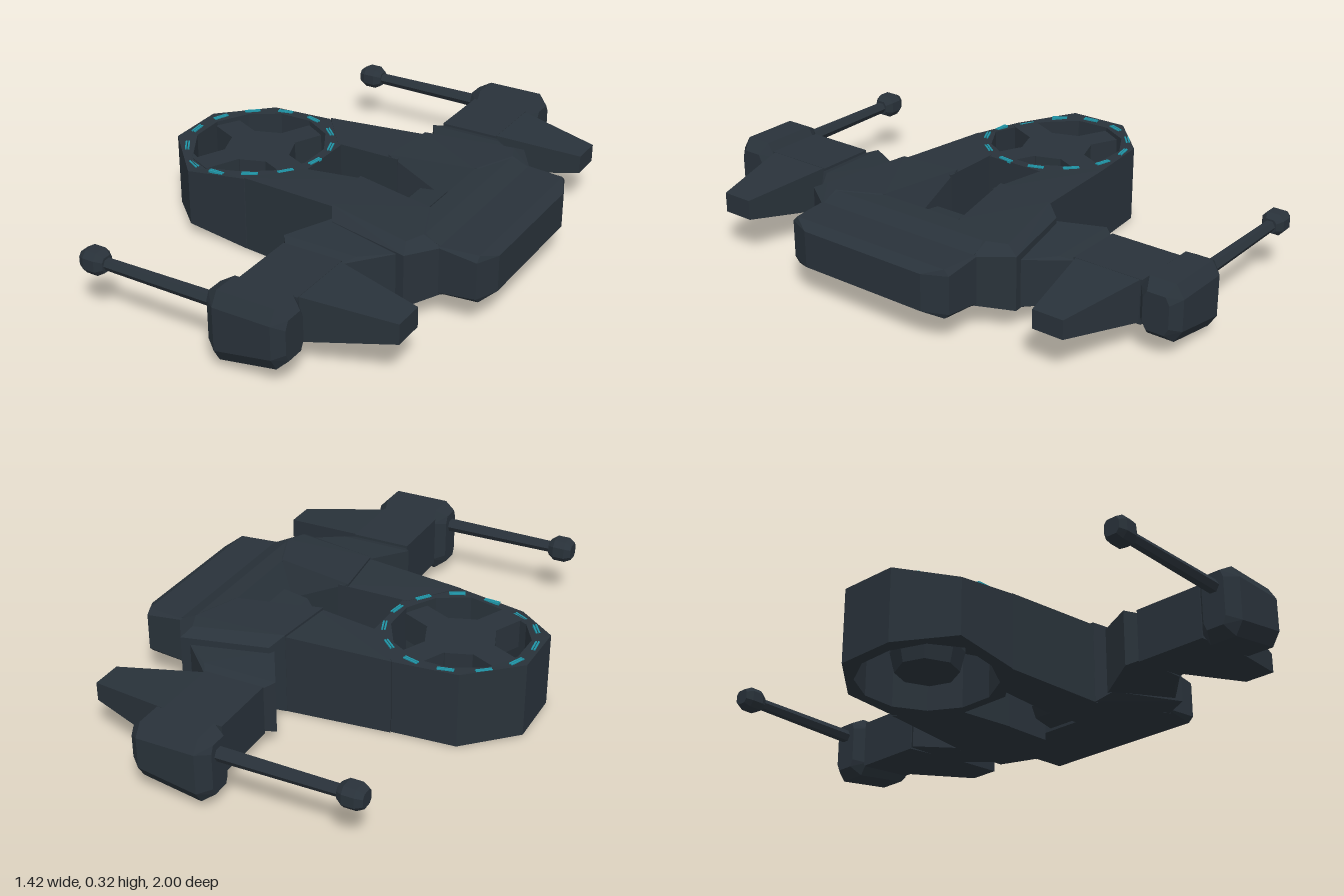
import * as THREE from 'three';
import { ConvexGeometry } from 'three/addons/geometries/ConvexGeometry.js';

const hullMat = new THREE.MeshStandardMaterial({ color: 0x29323a });
hullMat.name = 'dark slate hull';
const lightMat = new THREE.MeshStandardMaterial({ color: 0x1f94a6 });
lightMat.name = 'teal light';

export function createModel() {
  const model = new THREE.Group();
  model.name = 'spacecraft';

  function add(name, geometry, material = hullMat) {
    const mesh = new THREE.Mesh(geometry, material);
    mesh.name = name;
    model.add(mesh);
    return mesh;
  }
  // Convex solid; plan points are [x, z, bottom, top]
  function solid(name, plan, side = 1, lift = 1) {
    const pts = [];
    for (const [x, z, y0, y1] of plan) {
      pts.push(new THREE.Vector3(x, y0 * lift, z * side), new THREE.Vector3(x, y1 * lift, z * side));
    }
    return add(name, new ConvexGeometry(pts));
  }
  // Chamfered-box cross-section across x, returned as plan points
  function section(x, z, halfWidth, y0, y1, cutZ, cutY) {
    return [
      [x, z - halfWidth, y0 + cutY, y1 - cutY], [x, z + halfWidth, y0 + cutY, y1 - cutY],
      [x, z - halfWidth + cutZ, y0, y1], [x, z + halfWidth - cutZ, y0, y1],
    ];
  }

  // Nose ring with a round opening; its rim dips on the left and rises on the right
  const cx = -0.415, cz = 0.01, midY = 0.155;
  function rimHalfHeight(x, z) {
    const b = Math.max(0, 1 - Math.abs(x + 0.535) / 0.2);
    return 0.128 + 0.016 * (1 - b) - 0.065 * z * b;
  }
  const outline = [[-0.71, -0.1], [-0.53, -0.27], [-0.29, -0.292], [-0.135, -0.12],
    [-0.135, 0.12], [-0.29, 0.298], [-0.54, 0.298], [-0.71, 0.13]];
  const shape = new THREE.Shape(outline.map(([x, z]) => new THREE.Vector2(x, z)));
  const hole = [];
  for (let i = 0; i < 12; i++) {
    const a = (i + 0.5) * Math.PI / 6;
    hole.push(new THREE.Vector2(cx + 0.252 * Math.cos(a), cz + 0.255 * Math.sin(a)));
  }
  shape.holes.push(new THREE.Path(hole));
  const ring = new THREE.ExtrudeGeometry(shape, { depth: 2, bevelEnabled: false });
  ring.rotateX(Math.PI / 2).translate(0, 1, 0);
  const pos = ring.attributes.position;
  for (let i = 0; i < pos.count; i++) {
    pos.setY(i, midY + Math.sign(pos.getY(i)) * rimHalfHeight(pos.getX(i), pos.getZ(i)));
  }
  ring.computeVertexNormals();
  add('noseRing', ring);

  // Hub and four spokes, nearly level with the rim
  const hub = [];
  for (let i = 0; i < 8; i++) {
    const a = THREE.MathUtils.degToRad(25 + (i >> 1) * 90 + (i % 2 ? 24 : -24));
    const c = Math.cos(a), s = Math.sin(a);
    for (const [r, y] of [[0.133, 0.278], [0.133, 0.12], [0.115, 0.045]]) {
      hub.push(new THREE.Vector3(cx + r * c, y, cz + r * s));
    }
  }
  add('hub', new ConvexGeometry(hub));
  for (let i = 0; i < 4; i++) {
    const spoke = add('spoke', new THREE.BoxGeometry(0.16, 0.11, 0.1));
    const a = THREE.MathUtils.degToRad(25 + i * 90);
    spoke.position.set(cx + 0.18 * Math.cos(a), 0.223, cz + 0.18 * Math.sin(a));
    spoke.rotation.y = -a;
  }

  // Light strips around the rim, in thin pairs
  for (let i = 0; i < 13; i++) {
    const a = (i + 0.3) * Math.PI * 2 / 13;
    for (const r of [0.268, 0.278]) {
      const strip = add('ringLight', new THREE.BoxGeometry(0.006, 0.009, 0.06), lightMat);
      const x = cx + r * Math.cos(a), z = cz + r * Math.sin(a);
      strip.position.set(x, midY + rimHalfHeight(x, z), z);
      strip.rotation.y = -a;
    }
  }

  // Main body behind the slot
  solid('bodyCentre', [
    [0.33, 0.17, 0.08, 0.22], [0.33, -0.17, 0.08, 0.22],
    [0.4, 0.17, 0.08, 0.315], [0.4, -0.17, 0.08, 0.315],
    [0.47, 0.34, 0.08, 0.31], [0.47, -0.34, 0.08, 0.31],
    [0.545, 0.34, 0.1, 0.28], [0.545, -0.34, 0.1, 0.28],
  ]);

  // Rear engine block with chamfered back
  solid('rearBlock', [
    [0.5, 0.35, 0.105, 0.285], [0.5, -0.35, 0.105, 0.285],
    [0.675, 0.35, 0.125, 0.265], [0.675, -0.35, 0.125, 0.265],
    [0.675, 0.33, 0.105, 0.285], [0.675, -0.33, 0.105, 0.285],
    [0.713, 0.26, 0.125, 0.262], [0.713, -0.26, 0.125, 0.262],
  ]);

  // Cockpit pod in the slot
  solid('cockpit', [
    [0.19, 0.045, 0.13, 0.2], [0.19, -0.045, 0.13, 0.2],
    [0.235, 0.065, 0.1, 0.24], [0.235, -0.065, 0.1, 0.24],
    [0.34, 0.075, 0.09, 0.25], [0.34, -0.075, 0.09, 0.25],
  ]);

  for (const side of [1, -1]) {
    const lift = side > 0 ? 1 : 0.93;

    // Forward prong joining ring and body, its underside rising inward
    solid('prong', [
      [-0.29, 0.296, 0.01, 0.302], [-0.15, 0.12, 0.03, 0.3],
      [0.12, 0.095, 0.04, 0.314], [0.12, 0.335, 0.005, 0.314],
    ], side);

    // Body half beside the slot
    solid('bodySide', [
      [0.08, 0.1, 0.04, 0.322], [0.105, 0.335, 0.005, 0.322],
      [0.14, 0.39, 0.04, 0.29], [0.46, 0.46, 0.085, 0.285],
      [0.44, 0.41, 0.075, 0.31], [0.54, 0.34, 0.1, 0.28],
      [0.47, 0.34, 0.08, 0.312],
      [0.4, 0.17, 0.06, 0.317], [0.33, 0.1, 0.05, 0.2],
    ], side);

    // Waisted wing root
    solid('wingRoot', [
      [0.13, 0.37, 0.035, 0.29], [0.44, 0.44, 0.09, 0.28],
      [0.035, 0.53, 0.06, 0.275], [0.32, 0.53, 0.08, 0.275],
      [0.07, 0.575, 0.08, 0.26], [0.29, 0.575, 0.09, 0.26],
    ], side, lift);

    // Wing pod with tapered tail
    solid('wingPod', [
      [0.06, 0.57, 0.07, 0.272], [0.06, 0.84, 0.07, 0.272],
      [0.29, 0.57, 0.095, 0.272], [0.29, 0.84, 0.095, 0.272],
    ], side, lift);
    solid('wingTail', [
      [0.28, 0.575, 0.1, 0.272], [0.28, 0.835, 0.1, 0.272],
      [0.615, 0.64, 0.16, 0.235], [0.615, 0.76, 0.16, 0.235],
    ], side, lift);

    // Gun housing at the wing tip
    solid('gunHousing', [
      ...section(0.025, 0.918, 0.045, 0.07, 0.275, 0.012, 0.03),
      ...section(0.07, 0.918, 0.081, 0.037, 0.3, 0.03, 0.05),
      ...section(0.29, 0.918, 0.081, 0.075, 0.3, 0.03, 0.05),
      ...section(0.328, 0.918, 0.05, 0.11, 0.26, 0.015, 0.03),
    ], side, lift);

    // Barrel and muzzle
    const barrel = add('gunBarrel', new THREE.CylinderGeometry(0.026, 0.022, 0.48, 6).toNonIndexed());
    barrel.geometry.computeVertexNormals();
    barrel.rotation.z = -Math.PI / 2;
    barrel.position.set(-0.2, 0.222 * lift, 0.92 * side);
    solid('gunMuzzle', [
      ...section(-0.51, 0.92, 0.03, 0.192, 0.252, 0.012, 0.015),
      ...section(-0.485, 0.92, 0.043, 0.18, 0.266, 0.018, 0.022),
      ...section(-0.44, 0.92, 0.043, 0.18, 0.266, 0.018, 0.022),
      ...section(-0.415, 0.92, 0.026, 0.194, 0.25, 0.01, 0.014),
    ], side, lift);
  }
  return model;
}
